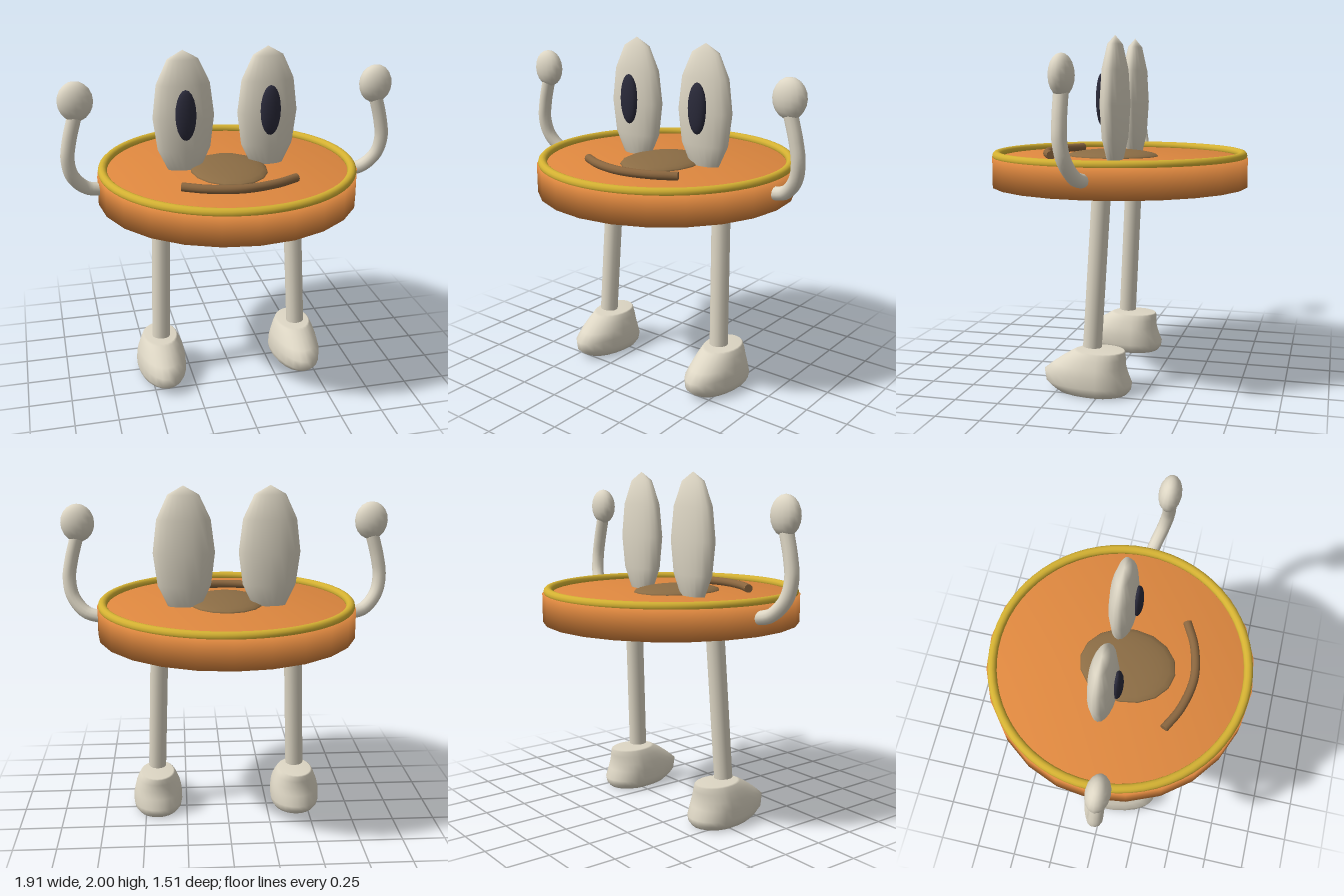
import * as THREE from 'three';
import { mergeVertices } from 'three/addons/utils/BufferGeometryUtils.js';

const mat = (name, color) => {
  const m = new THREE.MeshStandardMaterial({ color });
  m.name = name;
  return m;
};

const v3 = (p) => new THREE.Vector3(...p);

export function createModel() {
  const group = new THREE.Group();
  const orange = mat('orange', 0xdf883f);
  const gold = mat('gold', 0xd4b132);
  const cream = mat('cream', 0xddd6c4);
  const dark = mat('dark navy', 0x2a2a3a);
  const noseBrown = mat('nose brown', 0x8c6d45);
  const mouthBrown = mat('mouth brown', 0x8a663f);

  const add = (name, geometry, material, position = [0, 0, 0]) => {
    const mesh = new THREE.Mesh(geometry, material);
    mesh.name = name;
    mesh.position.set(...position);
    group.add(mesh);
    return mesh;
  };
  const ellipsoid = (name, material, position, radii, w = 20, h = 12) =>
    add(name, new THREE.SphereGeometry(1, w, h).scale(...radii), material, position);

  const tube = (points, radius, segments) =>
    new THREE.TubeGeometry(new THREE.CatmullRomCurve3(points.map(v3)), segments, radius, 12);

  // Round body with softly shaded edges
  const bodyProfile = [[0, 1.14], [0.755, 1.14], [0.755, 1.308], [0, 1.308]];
  add('body', new THREE.LatheGeometry(bodyProfile.map((p) => new THREE.Vector2(...p)), 24), orange);

  // Raised rim
  add('rim', new THREE.TorusGeometry(0.722, 0.026, 12, 64).rotateX(Math.PI / 2), gold, [0, 1.318, 0]);

  // Nose and smile lying on the top face
  ellipsoid('nose', noseBrown, [0, 1.305, 0.043], [0.225, 0.042, 0.277], 16, 12);
  const smile = [[-0.325, 1.33, 0.32], [-0.19, 1.33, 0.387], [0, 1.33, 0.424], [0.19, 1.33, 0.387], [0.325, 1.33, 0.32]];
  add('smile', tube(smile, 0.025, 24), mouthBrown);
  for (const s of [-1, 1]) {
    const cap = add('smileEnd', new THREE.CircleGeometry(0.025, 12), mouthBrown, [s * 0.325, 1.33, 0.32]);
    cap.rotation.y = s * 2.0;
  }

  // Shoe: rows of [y, half width, toe z, heel z]
  const shoeRows = [
    [0.005, 0, 0, 0], [0.005, 0.125, 0.25, -0.15], [0.03, 0.143, 0.29, -0.17], [0.06, 0.149, 0.325, -0.175],
    [0.12, 0.147, 0.335, -0.15], [0.165, 0.137, 0.28, -0.138], [0.21, 0.121, 0.215, -0.138],
    [0.243, 0.106, 0.158, -0.137], [0.25, 0.097, 0.14, -0.13], [0.25, 0, 0, 0],
  ];
  const makeShoe = () => {
    let geo = new THREE.LatheGeometry(shoeRows.map((r) => new THREE.Vector2(r[1], r[0])), 24);
    const pos = geo.attributes.position;
    for (let i = 0; i < pos.count; i++) {
      const [, halfWidth, toe, heel] = shoeRows[i % shoeRows.length];
      if (!halfWidth) continue;
      const c = pos.getZ(i) / halfWidth;
      pos.setZ(i, c > 0 ? c * toe : -c * heel);
    }
    geo.deleteAttribute('normal');
    geo.deleteAttribute('uv');
    geo = mergeVertices(geo, 1e-5);
    geo.computeVertexNormals();
    return geo;
  };

  for (const s of [-1, 1]) {
    const side = s > 0 ? 'left' : 'right';

    // Eyes
    ellipsoid(side + 'Eye', cream, [s * 0.246, 1.62, -0.035], [0.178, 0.38, 0.078], 20, 6);
    ellipsoid(side + 'Pupil', dark, [s * 0.246, 1.645, 0.043], [0.06, 0.147, 0.03], 16, 10);

    // Raised arm and hand
    const arm = [[0.72, 1.235, 0.01], [0.82, 1.26, 0.03], [0.895, 1.345, 0.06], [0.916, 1.45, 0.078], [0.9, 1.56, 0.083], [0.862, 1.7, 0.085]];
    add(side + 'Arm', tube(arm.map(([x, y, z]) => [s * x, y, z]), 0.039, 24), cream);
    ellipsoid(side + 'Hand', cream, [s * 0.855, 1.777, 0.085], [0.097, 0.11, 0.064], 16, 10);

    // Slanted leg
    const top = v3([s * 0.395, 1.15, 0.005]);
    const foot = v3([s * 0.428, 0.266, 0.052]);
    const dir = top.clone().sub(foot);
    const leg = add(side + 'Leg', new THREE.CylinderGeometry(0.054, 0.054, dir.length(), 14), cream);
    leg.position.copy(top).add(foot).multiplyScalar(0.5);
    leg.quaternion.setFromUnitVectors(new THREE.Vector3(0, 1, 0), dir.normalize());

    // Shoe
    add(side + 'Shoe', makeShoe(), cream, [s * 0.427, 0, 0]);
  }

  return group;
}
